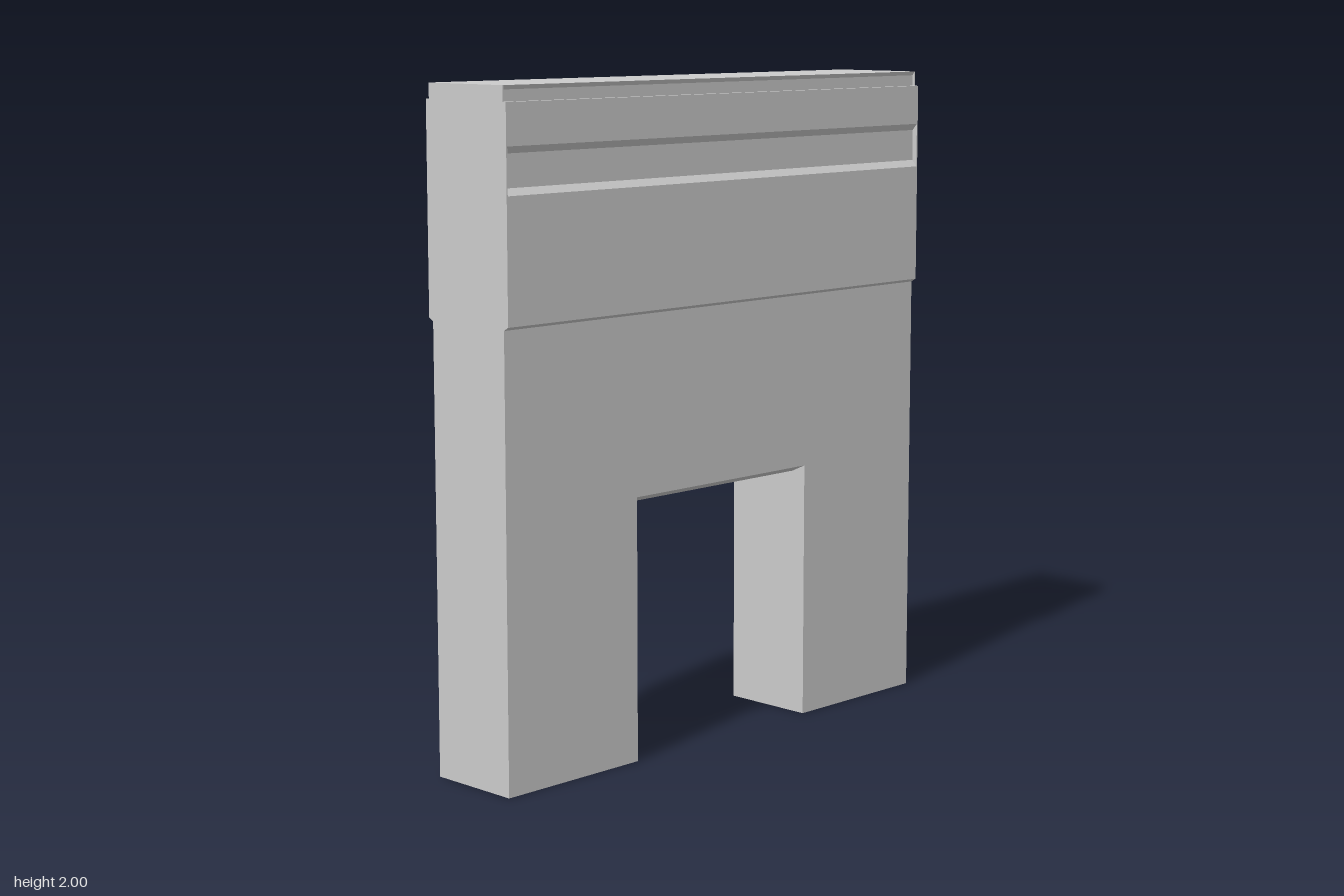
import * as THREE from 'three';

const W = 0.875; // half width of the wall
const D = 0.15; // half depth of the wall

export function createModel() {
  const group = new THREE.Group();
  const material = new THREE.MeshStandardMaterial({ color: 0xcccccc, flatShading: true });

  function add(name, geometry) {
    const mesh = new THREE.Mesh(geometry, material);
    mesh.name = name;
    group.add(mesh);
    return mesh;
  }

  // Sweeps a front half profile of [z, y] points, mirrored to the back, along x
  function sweep(name, half, x0, x1) {
    const back = half.map(([z, y]) => [-z, y]).reverse();
    const shape = new THREE.Shape([...half, ...back].map(([z, y]) => new THREE.Vector2(z, y)));
    const geometry = new THREE.ExtrudeGeometry(shape, { depth: x1 - x0, bevelEnabled: false });
    geometry.rotateY(-Math.PI / 2);
    geometry.translate(x1, 0, 0);
    return add(name, geometry);
  }

  // Lower wall with the doorway cut out
  const outline = [
    [-W, 0], [-0.365, 0], [-0.365, 0.795], [0.365, 0.795],
    [0.365, 0], [W, 0], [W, 1.33], [-W, 1.33],
  ];
  const wall = new THREE.ExtrudeGeometry(
    new THREE.Shape(outline.map(([x, y]) => new THREE.Vector2(x, y))),
    { depth: 2 * D, bevelEnabled: false },
  );
  wall.translate(0, 0, -D);
  add('doorwayWall', wall);

  // Faceted soffit hanging under the top of the doorway
  sweep('doorwaySoffit', [[0.05, 0.765], [0.1, 0.772], [D, 0.795]], -0.365, 0.365);

  // Upper band: sloped lower lip, recessed channel, ledge and overhanging top
  const lower = [[D, 1.33], [0.167, 1.34]];
  const channel = [[0.167, 1.7], [D, 1.72], [D, 1.815], [0.167, 1.835]];
  const ledge = [[0.167, 1.955], [0.147, 1.955], [0.147, 1.988], [0.154, 2]];
  const cap = 0.004;
  sweep('upperBand', [...lower, ...channel, ...ledge], -W + cap, W - cap);

  // Thin end plates closing the channel
  const plate = [...lower, [0.167, 1.955], [0.154, 1.955], [0.154, 2]];
  sweep('leftEndPlate', plate, W - cap, W);
  sweep('rightEndPlate', plate, -W, -W + cap);

  return group;
}
